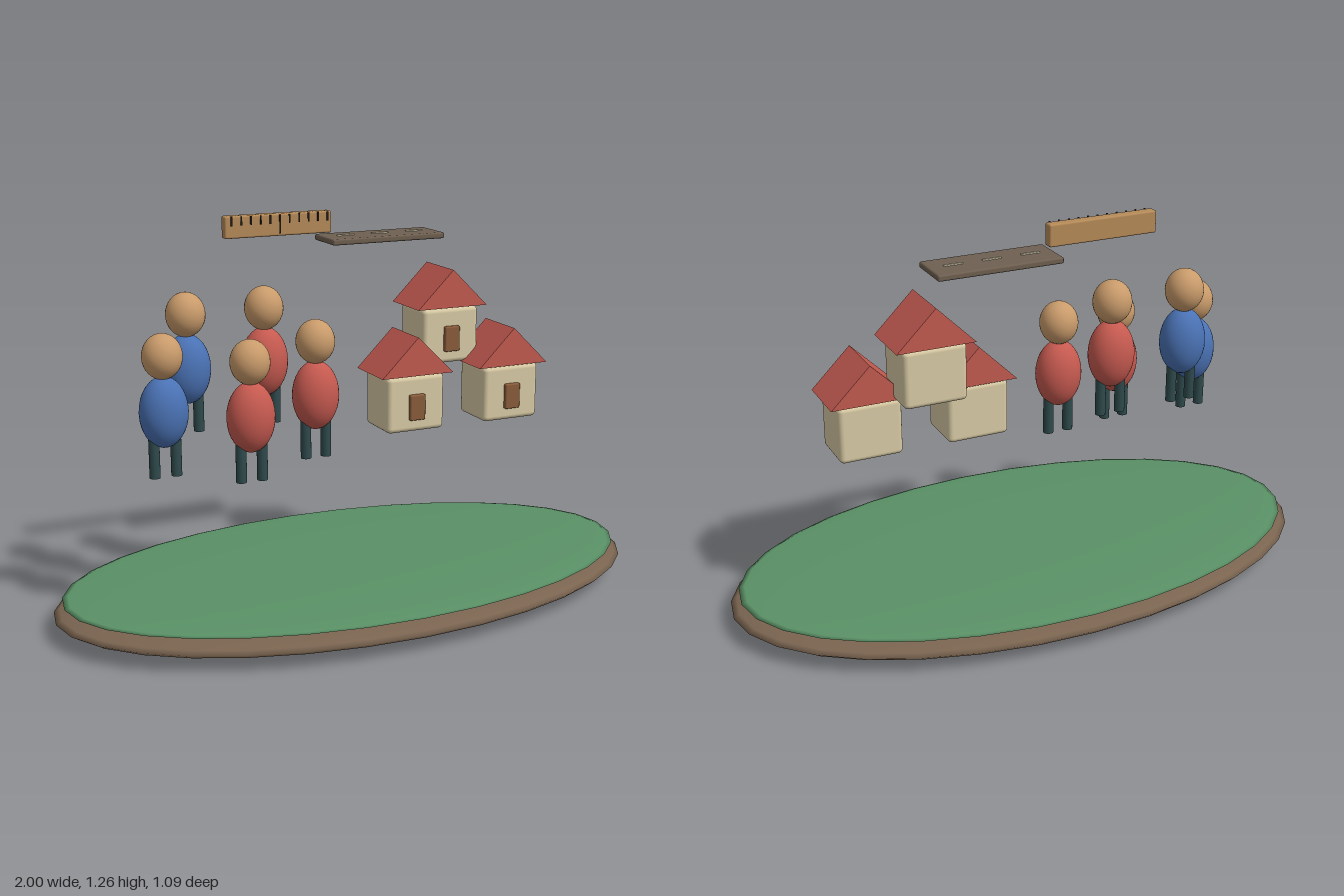
import * as THREE from 'three';
import { RoundedBoxGeometry } from 'three/addons/geometries/RoundedBoxGeometry.js';

const mat = (color) => new THREE.MeshStandardMaterial({ color });
const colors = {
  earth: mat(0x7a6450), grass: mat(0x5a9166), skin: mat(0xc99b6b), red: mat(0xc65a50),
  blue: mat(0x4a72b4), legs: mat(0x2f4a4c), wall: mat(0xd8caa4), roof: mat(0xc25a50),
  door: mat(0x8a5c3a), wood: mat(0xb58a58), road: mat(0x6e5f50), dash: mat(0xd8ccb0), tick: mat(0x2a2420),
};

function add(parent, name, geometry, material, x = 0, y = 0, z = 0) {
  const mesh = new THREE.Mesh(geometry, material);
  mesh.name = name;
  mesh.position.set(x, y, z);
  parent.add(mesh);
  return mesh;
}

const ellipsoid = (rx, ry, rz, w = 32, h = 16) => new THREE.SphereGeometry(1, w, h).scale(rx, ry, rz);

// Egg-shaped body, round head and two straight legs; origin at the feet
function person(material) {
  const g = new THREE.Group();
  g.name = 'person';
  add(g, 'body', ellipsoid(0.077, 0.112, 0.068), material, 0, 0.206, 0);
  add(g, 'head', ellipsoid(0.063, 0.071, 0.063), colors.skin, 0, 0.38, 0);
  for (const side of [-1, 1]) {
    add(g, 'leg', new THREE.CylinderGeometry(0.017, 0.017, 0.16, 16), colors.legs, side * 0.035, 0.08, 0);
  }
  return g;
}

// Soft-edged walls, gabled roof with its ridge along z, and a front door
function house() {
  const g = new THREE.Group();
  g.name = 'house';
  add(g, 'walls', new RoundedBoxGeometry(0.205, 0.186, 0.167, 3, 0.016), colors.wall, 0, 0.093, 0);
  const gable = new THREE.Shape([
    new THREE.Vector2(-0.128, 0), new THREE.Vector2(0.128, 0), new THREE.Vector2(0, 0.126),
  ]);
  const roof = new THREE.ExtrudeGeometry(gable, { depth: 0.188, bevelEnabled: false });
  add(g, 'roof', roof, colors.roof, 0, 0.188, -0.094);
  add(g, 'door', new RoundedBoxGeometry(0.055, 0.085, 0.018, 2, 0.005), colors.door, 0, 0.083, 0.088);
  return g;
}

export function createModel() {
  const model = new THREE.Group();
  model.name = 'villageIsland';

  // Flattened ground with a grass cap
  add(model, 'earthBase', ellipsoid(1, 0.06, 0.547), colors.earth, 0, 0.06, 0);
  add(model, 'grassTop', ellipsoid(0.972, 0.018, 0.525), colors.grass, 0, 0.105, 0);

  // Group of people: colour, x, foot height, z
  const people = [
    ['blue', -0.634, 0.489, 0], ['blue', -0.512, 0.584, -0.132], ['red', -0.38, 0.463, 0.078],
    ['red', -0.249, 0.584, -0.132], ['red', -0.128, 0.489, 0],
  ];
  for (const [color, x, y, z] of people) {
    const p = person(colors[color]);
    p.position.set(x, y, z);
    model.add(p);
  }

  // Cluster of houses
  for (const [x, y, z] of [[0.192, 0.556, 0], [0.374, 0.746, -0.106], [0.548, 0.556, 0]]) {
    const h = house();
    h.position.set(x, y, z);
    model.add(h);
  }

  // Measuring stick with tick marks, the middle one longer
  const ruler = new THREE.Group();
  ruler.name = 'ruler';
  ruler.position.set(-0.185, 1.223, -0.167);
  add(ruler, 'stick', new RoundedBoxGeometry(0.366, 0.071, 0.034, 2, 0.006), colors.wood);
  for (let i = -5; i <= 5; i++) {
    const h = i === 0 ? 0.06 : 0.028;
    add(ruler, 'tick', new THREE.BoxGeometry(0.005, h, 0.003), colors.tick, i * 0.0328, 0.034 - h / 2, 0.026);
  }
  model.add(ruler);

  // Road slab with a dashed centre line
  const road = new THREE.Group();
  road.name = 'road';
  road.position.set(0.18, 1.163, -0.167);
  add(road, 'slab', new RoundedBoxGeometry(0.404, 0.02, 0.15, 2, 0.006), colors.road);
  for (let i = -1; i <= 1; i++) {
    add(road, 'dash', new THREE.BoxGeometry(0.06, 0.005, 0.008), colors.dash, i * 0.125, 0.0115, 0);
  }
  model.add(road);

  return model;
}
